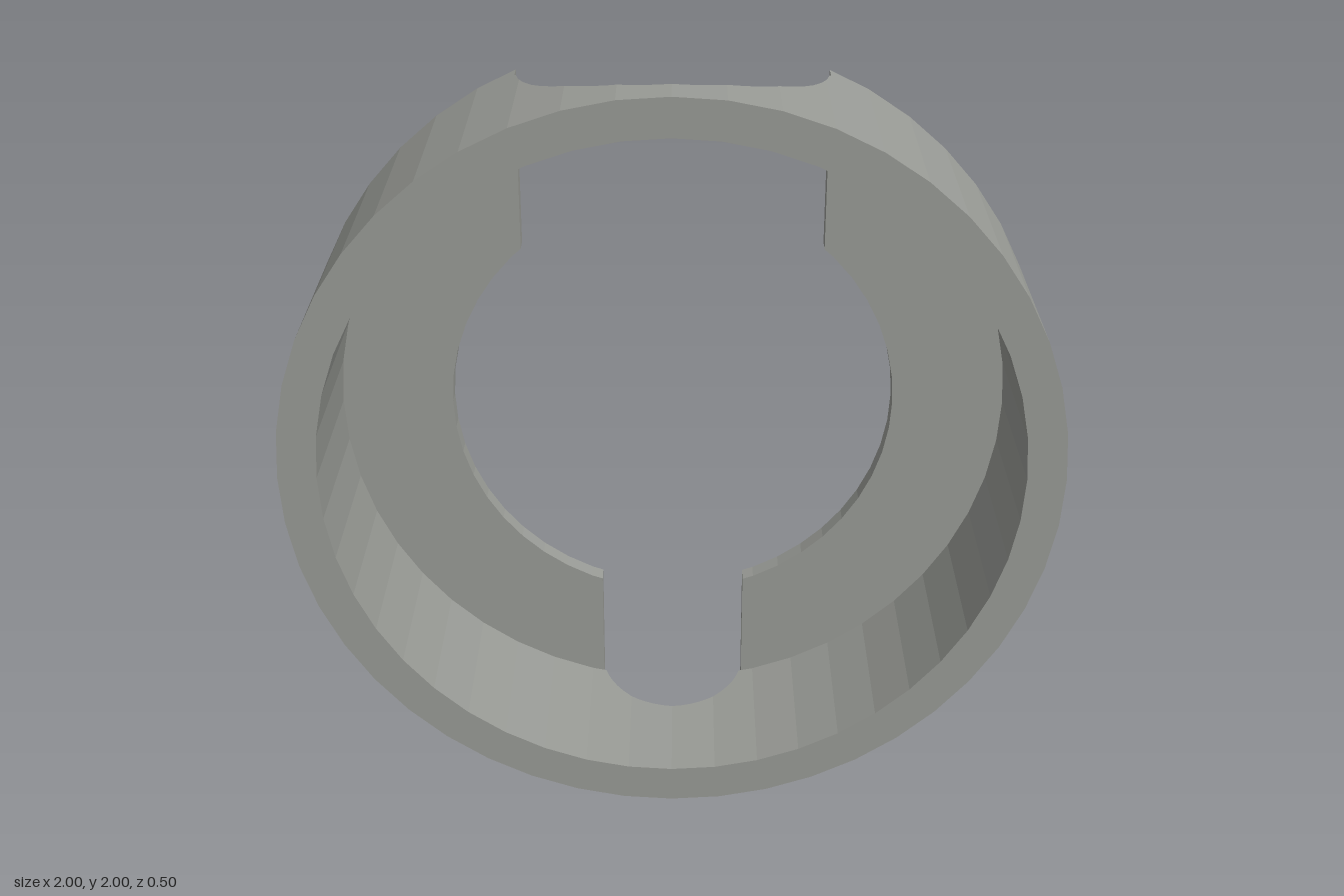
import * as THREE from 'three';

const SIDES = 48, STEP = (2 * Math.PI) / SIDES;
const OUTER = 1, INNER = 0.9, BORE = 0.6;
const FRONT = 0.25, BACK = -0.25, PLATE = -0.2;
const TOP_CUT = 0.4, BOTTOM_CUT = 0.2;

// Height of the upper half of a 48-sided polygon at x
function heightAt(x, r) {
  const k = Math.min(SIDES / 2 - 1, Math.floor(Math.acos(Math.max(-1, Math.min(1, x / r))) / STEP + 1e-9));
  const x0 = r * Math.cos(k * STEP), x1 = r * Math.cos((k + 1) * STEP);
  const y0 = r * Math.sin(k * STEP), y1 = r * Math.sin((k + 1) * STEP);
  return y0 + ((y1 - y0) * (x - x0)) / (x1 - x0);
}

// x stations across a round cut, from +x to -x
const cutStations = (c) => Array.from({ length: 25 }, (_, k) => c * Math.cos(k * STEP));

// Rear limit of the wall where a vertical round cut bites into it
const rearAt = (x, c) => Math.max(PLATE, BACK + Math.sqrt(Math.max(0, c * c - x * x)));

// Points of one half of the wall's rear edge, in counterclockwise order
function halfEdge(r, c, sign) {
  const xs = Array.from({ length: SIDES / 2 + 1 }, (_, k) => r * Math.cos(k * STEP))
    .concat(cutStations(c))
    .sort((a, b) => b - a)
    .filter((x, i, all) => i === 0 || all[i - 1] - x > 1e-5);
  return xs.map((x) => new THREE.Vector3(sign * x, sign * heightAt(x, r), rearAt(x, c)));
}

const rearEdge = (r) => [...halfEdge(r, TOP_CUT, 1), ...halfEdge(r, BOTTOM_CUT, -1).slice(1)];

// Flat quads between two rows of points
function strip(a, b) {
  const pos = [];
  for (let i = 0; i < a.length - 1; i++) {
    for (const p of [a[i], a[i + 1], b[i + 1], a[i], b[i + 1], b[i]]) pos.push(p.x, p.y, p.z);
  }
  const g = new THREE.BufferGeometry();
  g.setAttribute('position', new THREE.Float32BufferAttribute(pos, 3));
  g.computeVertexNormals();
  return g;
}

const polygon = (r) => Array.from({ length: SIDES }, (_, k) =>
  new THREE.Vector2(r * Math.cos(k * STEP), r * Math.sin(k * STEP)));

// Right-hand arc between the bottom slot and the top slot
function sideArc(r) {
  const mid = polygon(r)
    .filter((p) => p.x > (p.y > 0 ? TOP_CUT : BOTTOM_CUT) + 1e-5)
    .sort((a, b) => a.y - b.y);
  return [
    new THREE.Vector2(BOTTOM_CUT, -heightAt(BOTTOM_CUT, r)),
    ...mid,
    new THREE.Vector2(TOP_CUT, heightAt(TOP_CUT, r)),
  ];
}

export function createModel() {
  const model = new THREE.Group();
  model.name = 'slottedRing';
  const grey = new THREE.MeshStandardMaterial({ color: 0x999b96 });
  grey.name = 'grey';

  const add = (name, geometry) => {
    geometry.translate(0, 1, 0);
    const mesh = new THREE.Mesh(geometry, grey);
    mesh.name = name;
    model.add(mesh);
  };

  // Ring wall, outside and inside
  const toFront = (row) => row.map((p) => new THREE.Vector3(p.x, p.y, FRONT));
  const outer = rearEdge(OUTER), inner = rearEdge(INNER);
  add('outerWall', strip(outer, toFront(outer)));
  add('innerWall', strip(toFront(inner), inner));

  // Front rim
  const rim = new THREE.Shape(polygon(OUTER));
  rim.holes.push(new THREE.Path(polygon(INNER)));
  const rimGeometry = new THREE.ShapeGeometry(rim);
  rimGeometry.translate(0, 0, FRONT);
  add('frontRim', rimGeometry);

  // Curved faces of the two round cuts through the wall
  for (const [name, c, sign] of [['topCut', TOP_CUT, 1], ['bottomCut', BOTTOM_CUT, -1]]) {
    const row = (r) => cutStations(c).map((x) =>
      new THREE.Vector3(sign * x, sign * heightAt(x, r), rearAt(x, c)));
    add(name, strip(row(INNER), row(OUTER)));
  }

  // Back plate halves, mirrored left and right
  for (const [name, side] of [['leftBackPlate', 1], ['rightBackPlate', -1]]) {
    const points = [...sideArc(OUTER), ...sideArc(BORE).reverse()]
      .map((p) => new THREE.Vector2(side * p.x, p.y));
    const plate = new THREE.ExtrudeGeometry(new THREE.Shape(points), {
      depth: PLATE - BACK, bevelEnabled: false,
    });
    plate.translate(0, 0, BACK);
    add(name, plate);
  }
  return model;
}
